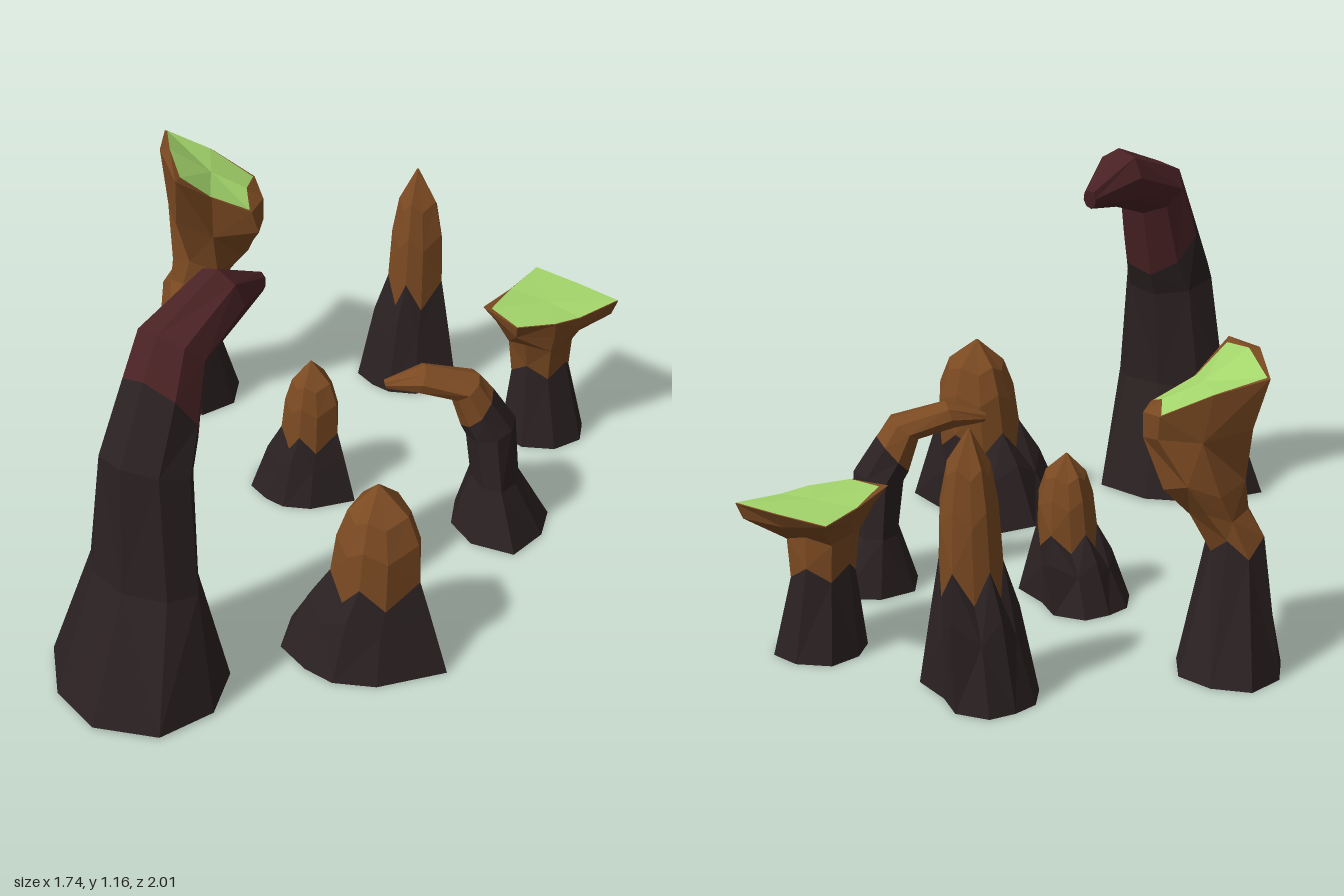
import * as THREE from 'three';

const mat = (name, color, side = THREE.FrontSide) =>
  Object.assign(new THREE.MeshStandardMaterial({ color, side }), { name });
const V = (x, y, z) => new THREE.Vector3(x, y, z);

// Small repeatable irregularity in -1..1
const wobble = (i, k) => {
  const s = Math.sin(i * 12.99 + k * 78.23) * 437.58;
  return (s - Math.floor(s)) * 2 - 1;
};

// Faceted skin over rings of points (ordered +x, back, -x, front), with an optional top fan
function loft(name, rings, material, top = false) {
  const pos = [];
  const tri = (...pts) => pts.forEach((p) => pos.push(p.x, p.y, p.z));
  const n = rings[0].length;
  for (let k = 0; k < rings.length - 1; k++) {
    const lo = rings[k], hi = rings[k + 1];
    for (let i = 0; i < n; i++) {
      const j = (i + 1) % n;
      if ((i + k) % 2) {
        tri(lo[i], lo[j], hi[j]);
        tri(lo[i], hi[j], hi[i]);
      } else {
        tri(lo[i], lo[j], hi[i]);
        tri(lo[j], hi[j], hi[i]);
      }
    }
  }
  if (top) {
    const last = rings[rings.length - 1];
    const mid = last.reduce((s, p) => s.add(p), V(0, 0, 0)).divideScalar(n);
    last.forEach((p, i) => tri(mid, p, last[(i + 1) % n]));
  }
  const g = new THREE.BufferGeometry();
  g.setAttribute('position', new THREE.Float32BufferAttribute(pos, 3));
  g.computeVertexNormals();
  const mesh = new THREE.Mesh(g, material);
  mesh.name = name;
  return mesh;
}

// Level ring, slightly irregular
const circle = (x, y, z, rx, rz, k = 0, jag = 0) => Array.from({ length: 8 }, (_, i) => {
  const a = (i * Math.PI) / 4 + 0.15, w = 1 + 0.07 * wobble(i, k);
  return V(x + Math.cos(a) * rx * w, y + (i % 2 ? jag : -jag), z - Math.sin(a) * rz * w);
});
const points = (list) => list.map((p) => V(...p));

// Footprint of a pointed stump, with one stretched corner
const FOOT = [[0.15, -0.01], [0.13, -0.16], [0.01, -0.24], [-0.1, -0.2], [-0.19, -0.13],
  [-0.23, 0.01], [-0.17, 0.12], [-0.1, 0.19], [0.02, 0.22], [0.22, 0.17]];
// Height fraction, radius, share of footprint shape, sideways lean, jaggedness, back shoulder bulge
const STUMP = [[0, 0.2, 1, 0, 0, 1], [0.29, 0.157, 0.65, 0.4, 0.04, 1.25], [0.44, 0.125, 0.3, 0.85, 0.06, 1.1],
  [0.69, 0.118, 0.15, 1, 0.03, 1], [0.85, 0.088, 0.1, 1, 0.02, 1], [1, 0.004, 0, 0.9, 0, 1]];

function stump(name, x, z, s, height, rock, tip) {
  const rings = STUMP.map(([f, r, w, lean, jag, bulge]) => FOOT.map(([px, pz], i) => {
    const a = Math.atan2(pz, px);
    const d = i === 1 ? r * bulge : r;
    const ux = THREE.MathUtils.lerp(Math.cos(a), px / 0.2, w);
    const uz = THREE.MathUtils.lerp(Math.sin(a), pz / 0.2, w);
    return V((ux * d + lean * 0.045) * s, (f + (i % 2 ? jag : -jag)) * height, (uz * d + lean * 0.035) * s);
  }));
  const g = new THREE.Group();
  g.name = name;
  g.add(loft('stumpBase', rings.slice(0, 3), rock), loft('stumpPoint', rings.slice(2), tip, true));
  g.position.set(x, 0, z);
  return g;
}

// Hooked spire bending toward local +x: reach, height, radius in the bend, radius across, tilt
const HOOK = [[0, 0.005, 0.235, 0.25, 0], [0.03, 0.36, 0.11, 0.18, 0], [0.05, 0.7, 0.118, 0.142, 0.35],
  [0.115, 0.84, 0.135, 0.122, 1.0], [0.17, 1.0, 0.096, 0.105, 0.8], [0.37, 1.07, 0.088, 0.082, 1.35],
  [0.53, 1.035, 0.03, 0.022, 1.75]];

function hook(name, x, z, sxz, sy, turn, rock, tip) {
  const rings = HOOK.map(([u, y, r1, r2, tilt], k) => Array.from({ length: 8 }, (_, i) => {
    const a = (i * Math.PI) / 4 + 0.1;
    const w = (1 + 0.04 * wobble(i, k)) * (i === 2 && k === 0 ? 1.18 : 1);
    const c = Math.cos(a) * r1 * w;
    return V((u + c * Math.cos(tilt)) * sxz, (y - c * Math.sin(tilt)) * sy, -Math.sin(a) * r2 * w * sxz);
  }));
  const g = new THREE.Group();
  g.name = name;
  g.add(loft('hookBase', rings.slice(0, 4), rock), loft('hookTip', rings.slice(3), tip, true));
  g.position.set(x, 0, z);
  g.rotation.y = turn;
  return g;
}

// Stalk, flaring ledge with a bare rim, and the grass inside it
function ledge(name, stalk, flare, lawn, rock, earth, grass) {
  const g = new THREE.Group();
  g.name = name;
  g.add(loft('ledgeStalk', stalk, rock),
    loft('ledgeFlare', [stalk[stalk.length - 1], ...flare, lawn], earth),
    loft('ledgeGrass', [lawn], grass, true));
  return g;
}

export function createModel() {
  const rock = mat('darkRock', 0x2b2122, THREE.DoubleSide); // bases are open underneath
  const earth = mat('brownRock', 0x7b4a22);
  const red = mat('redRock', 0x4a2224);
  const grass = mat('grass', 0xa3d56b);
  const model = new THREE.Group();
  model.name = 'rockSpires';

  // Hooked spires
  model.add(hook('tallHook', -0.63, 0.765, 1, 1, 0.82, rock, red),
    hook('smallHook', 0.45, 0.035, 0.65, 0.47, Math.PI, rock, earth));

  // Pointed stumps
  model.add(stump('frontStump', -0.01, 0.61, 1, 0.54, rock, earth),
    stump('middleStump', -0.12, -0.21, 0.68, 0.44, rock, earth),
    stump('backStump', 0.26, -0.84, 0.68, 0.74, rock, earth));

  // Flat ledge
  model.add(ledge('flatLedge',
    [circle(0.65, 0, -0.45, 0.13, 0.12, 1), circle(0.635, 0.245, -0.455, 0.087, 0.075, 2, 0.02)],
    [circle(0.635, 0.345, -0.447, 0.098, 0.088, 3, 0.01),
      points([[0.85, 0.4, -0.46], [0.75, 0.4, -0.55], [0.65, 0.405, -0.62], [0.56, 0.4, -0.54],
        [0.49, 0.41, -0.43], [0.54, 0.4, -0.34], [0.66, 0.39, -0.35], [0.75, 0.4, -0.39]]),
      points([[0.87, 0.445, -0.46], [0.77, 0.445, -0.57], [0.65, 0.445, -0.69], [0.55, 0.445, -0.56],
        [0.45, 0.46, -0.43], [0.54, 0.445, -0.32], [0.66, 0.44, -0.34], [0.74, 0.435, -0.38]])],
    points([[0.868, 0.447, -0.46], [0.769, 0.447, -0.569], [0.65, 0.447, -0.688], [0.552, 0.447, -0.558],
      [0.475, 0.457, -0.425], [0.54, 0.447, -0.322], [0.66, 0.442, -0.342], [0.74, 0.437, -0.382]]),
    rock, earth, grass));

  // Tall ledge with a sloping lid
  model.add(ledge('slopingLedge',
    [circle(-0.428, 0, -0.785, 0.145, 0.16, 3), circle(-0.45, 0.36, -0.74, 0.075, 0.1, 4, 0.025)],
    [circle(-0.405, 0.45, -0.73, 0.085, 0.1, 5, 0.01), circle(-0.365, 0.53, -0.73, 0.12, 0.12, 6, 0.015),
      points([[-0.2, 0.65, -0.7], [-0.22, 0.67, -0.79], [-0.33, 0.67, -0.84], [-0.46, 0.71, -0.86],
        [-0.49, 0.7, -0.73], [-0.47, 0.7, -0.6], [-0.36, 0.65, -0.59], [-0.22, 0.65, -0.61]]),
      points([[-0.2, 0.72, -0.7], [-0.22, 0.74, -0.81], [-0.35, 0.81, -0.87], [-0.49, 0.86, -0.91],
        [-0.51, 0.89, -0.72], [-0.47, 0.87, -0.54], [-0.36, 0.78, -0.6], [-0.24, 0.72, -0.61]])],
    points([[-0.25, 0.755, -0.705], [-0.225, 0.742, -0.805], [-0.352, 0.812, -0.868], [-0.483, 0.862, -0.903],
      [-0.48, 0.89, -0.72], [-0.455, 0.865, -0.58], [-0.365, 0.784, -0.603], [-0.246, 0.725, -0.617]]),
    rock, earth, grass));

  return model;
}
